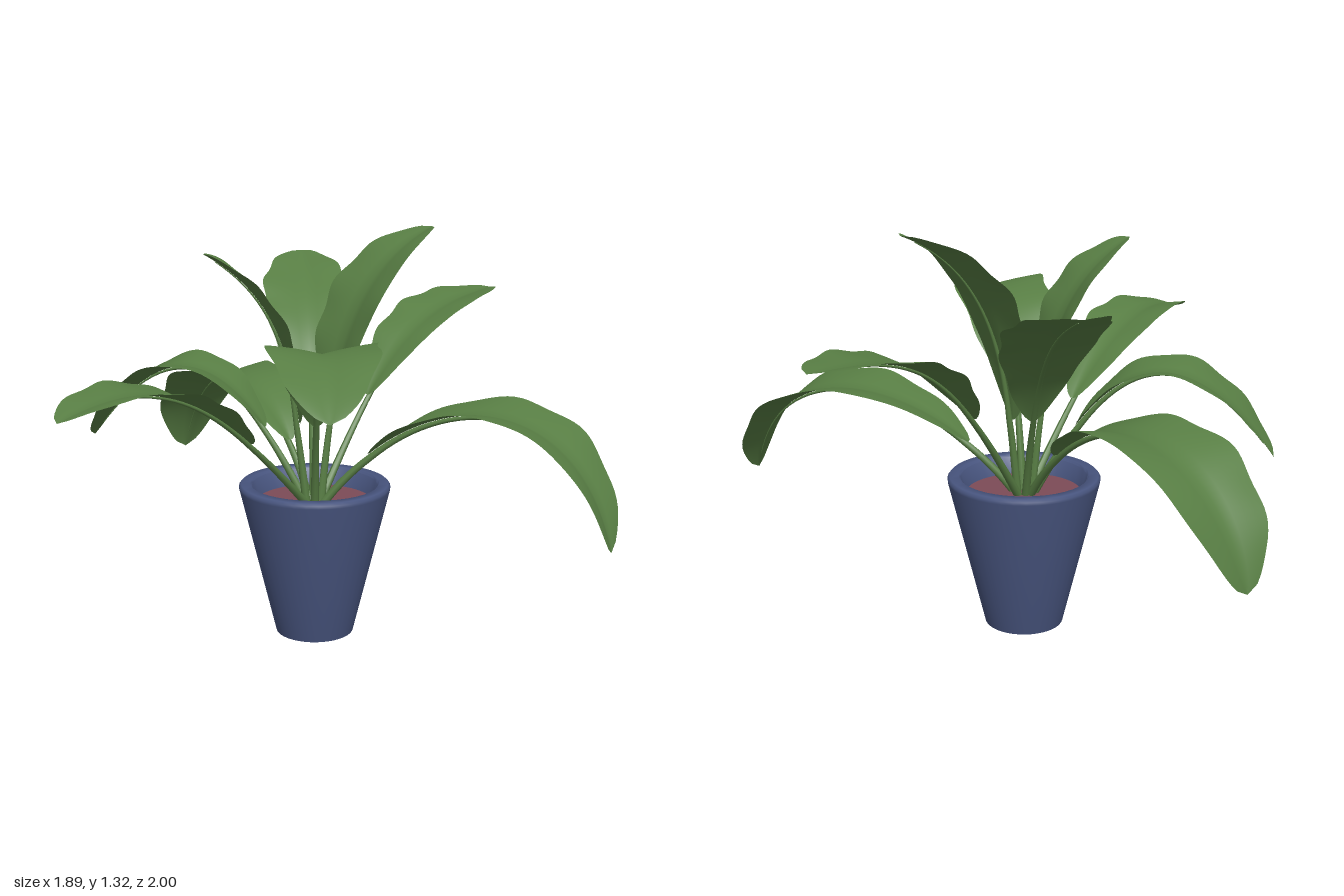
import * as THREE from 'three';
import { toCreasedNormals } from 'three/addons/utils/BufferGeometryUtils.js';

const potMat = new THREE.MeshStandardMaterial({ color: 0x48557f });
const soilMat = new THREE.MeshStandardMaterial({ color: 0x7d4b57 });
const stemMat = new THREE.MeshStandardMaterial({ color: 0x587e44 });
const leafMat = new THREE.MeshStandardMaterial({ color: 0x587e44, side: THREE.DoubleSide });

const SOIL_Y = 0.43;

// Each leaf arches from the soil to its tip. The two handles are given as
// [fraction of the way out, height]; start is where the blade begins on the arch
// and bend bows the leaf to one side on its way out.
const LEAVES = [
  { name: 'backLeaf', tip: [-0.02, 1.05, -1], h1: [0.38, 0.98], h2: [0.56, 1.02], width: 0.13, start: 0.34 },
  { name: 'frontLeaf', tip: [0, 0.885, 1], h1: [0.35, 0.81], h2: [0.62, 1], width: 0.13, start: 0.32 },
  { name: 'lowLeftLeaf', tip: [0.94, 0.42, -0.27], h1: [0.24, 0.84], h2: [0.83, 0.92], width: 0.17, start: 0.19, bend: 0.15 },
  { name: 'lowRightLeaf', tip: [-0.935, 0.42, -0.3], h1: [0.24, 0.84], h2: [0.83, 0.92], width: 0.17, start: 0.19, bend: -0.02 },
  { name: 'rightFrontLeaf', tip: [-0.73, 0.61, 0.3], h1: [0.33, 0.97], h2: [0.65, 0.98], width: 0.15, start: 0.27 },
  { name: 'leftFrontLeaf', tip: [0.585, 0.9, 0.58], h1: [0.11, 0.93], h2: [0.52, 1.19], width: 0.16, start: 0.26 },
  { name: 'rightBackLeaf', tip: [-0.57, 1.18, -0.57], h1: [0.21, 0.99], h2: [0.58, 1.07], width: 0.148, start: 0.28 },
  { name: 'tallBackLeaf', tip: [0.13, 1.315, -0.44], h1: [0.06, 0.88], h2: [0.25, 1.19], width: 0.155, start: 0.26, bend: 0.01 },
  { name: 'tallFrontLeaf', tip: [-0.22, 1.255, 0.26], h1: [0.09, 0.9], h2: [0.23, 1.11], width: 0.13, start: 0.3 },
];

// Half width of a blade (0..1) along its length: slim base, broad middle, blunt tip
const outline = u => 0.06 * (1 - u) + 0.97 * Math.max(Math.sin(Math.PI * u ** 1.25), 0) ** 0.56;

// Midrib curve and the level direction across the leaf
function makeArch({ tip, h1, h2, bend = 0 }) {
  const end = new THREE.Vector3(...tip);
  const out = new THREE.Vector3(tip[0] + 0.01, 0, tip[2] + 0.02).normalize();
  const side = new THREE.Vector3(-out.z, 0, out.x);
  const base = new THREE.Vector3(-0.01, SOIL_Y, -0.02).addScaledVector(out, 0.025);
  const handle = ([f, y], offset) => base.clone().lerp(end, f).setY(y).addScaledVector(side, -offset);
  const curve = new THREE.CubicBezierCurve3(base, handle(h1, bend * 0.75), handle(h2, bend), end);
  return { curve, side };
}

// Point on the midrib and the direction away from the upper face
function frameAt({ curve, side }, t) {
  const normal = new THREE.Vector3().crossVectors(side, curve.getTangentAt(t)).normalize();
  return { p: curve.getPointAt(t), normal };
}

// Folded, wavy-edged blade swept along the midrib
function bladeGeometry(arch, { width, start }, phase) {
  const rows = 48, cols = 8, pos = [], index = [];
  for (let i = 0; i <= rows; i++) {
    const u = i / rows;
    const { p, normal } = frameAt(arch, start + (1 - start) * u);
    for (let j = 0; j <= cols; j++) {
      const s = (j / cols) * 2 - 1, a = Math.abs(s);
      const wave = Math.sin(u * 27 + phase + Math.sign(s) * 0.9);
      const w = width * outline(u) * (1 + 0.04 * wave * a);
      const lift = 0.26 * w * a * (1 - 0.3 * a) + 0.003 * wave * a * a * outline(u);
      const v = p.clone().addScaledVector(arch.side, s * w).addScaledVector(normal, lift);
      pos.push(v.x, v.y, v.z);
      if (i < rows && j < cols) {
        const k = i * (cols + 1) + j, n = k + cols + 1;
        index.push(k, k + 1, n, k + 1, n + 1, n);
      }
    }
  }
  const g = new THREE.BufferGeometry();
  g.setAttribute('position', new THREE.Float32BufferAttribute(pos, 3));
  g.setIndex(index);
  g.computeVertexNormals();
  return g;
}

// Stem that tapers into the midrib under the blade
function stemGeometry(arch, { start }) {
  const g = new THREE.CylinderGeometry(1, 1, 1, 8, 36);
  const pos = g.attributes.position;
  for (let i = 0; i < pos.count; i++) {
    const t = (pos.getY(i) + 0.5) * 0.95;
    const { p, normal } = frameAt(arch, t);
    const r = 0.001 + 0.013 * (1 - t) ** 1.3;
    const sink = r * 1.1 * Math.min(1, t / start);
    p.addScaledVector(arch.side, pos.getX(i) * r).addScaledVector(normal, pos.getZ(i) * r - sink);
    pos.setXYZ(i, p.x, p.y, p.z);
  }
  g.computeVertexNormals();
  return g;
}

function addMesh(parent, name, geometry, material) {
  const mesh = new THREE.Mesh(geometry, material);
  mesh.name = name;
  parent.add(mesh);
  return mesh;
}

function addGroup(parent, name) {
  const group = new THREE.Group();
  group.name = name;
  parent.add(group);
  return group;
}

export function createModel() {
  const model = new THREE.Group();
  model.name = 'pottedPlant';

  // Tapered pot with a softly rounded rim and a hollow top
  const planter = addGroup(model, 'planter');
  planter.position.set(-0.013, 0, -0.025);
  const profile = [[0, 0], [0.128, 0], [0.246, 0.488], [0.247, 0.498], [0.24, 0.506],
    [0.21, 0.506], [0.204, 0.5], [0.185, 0.42], [0, 0.42]].map(q => new THREE.Vector2(...q));
  addMesh(planter, 'pot', toCreasedNormals(new THREE.LatheGeometry(profile, 40), 0.9), potMat);

  // Soil disc
  const soil = addMesh(planter, 'soil', new THREE.CylinderGeometry(0.188, 0.184, 0.02, 40), soilMat);
  soil.position.y = SOIL_Y + 0.005;

  // Leaves, each with its stem
  const foliage = addGroup(model, 'foliage');
  LEAVES.forEach((spec, i) => {
    const leaf = addGroup(foliage, spec.name);
    const arch = makeArch(spec);
    addMesh(leaf, 'blade', bladeGeometry(arch, spec, i * 1.7), leafMat);
    addMesh(leaf, 'stem', stemGeometry(arch, spec), stemMat);
  });
  return model;
}
